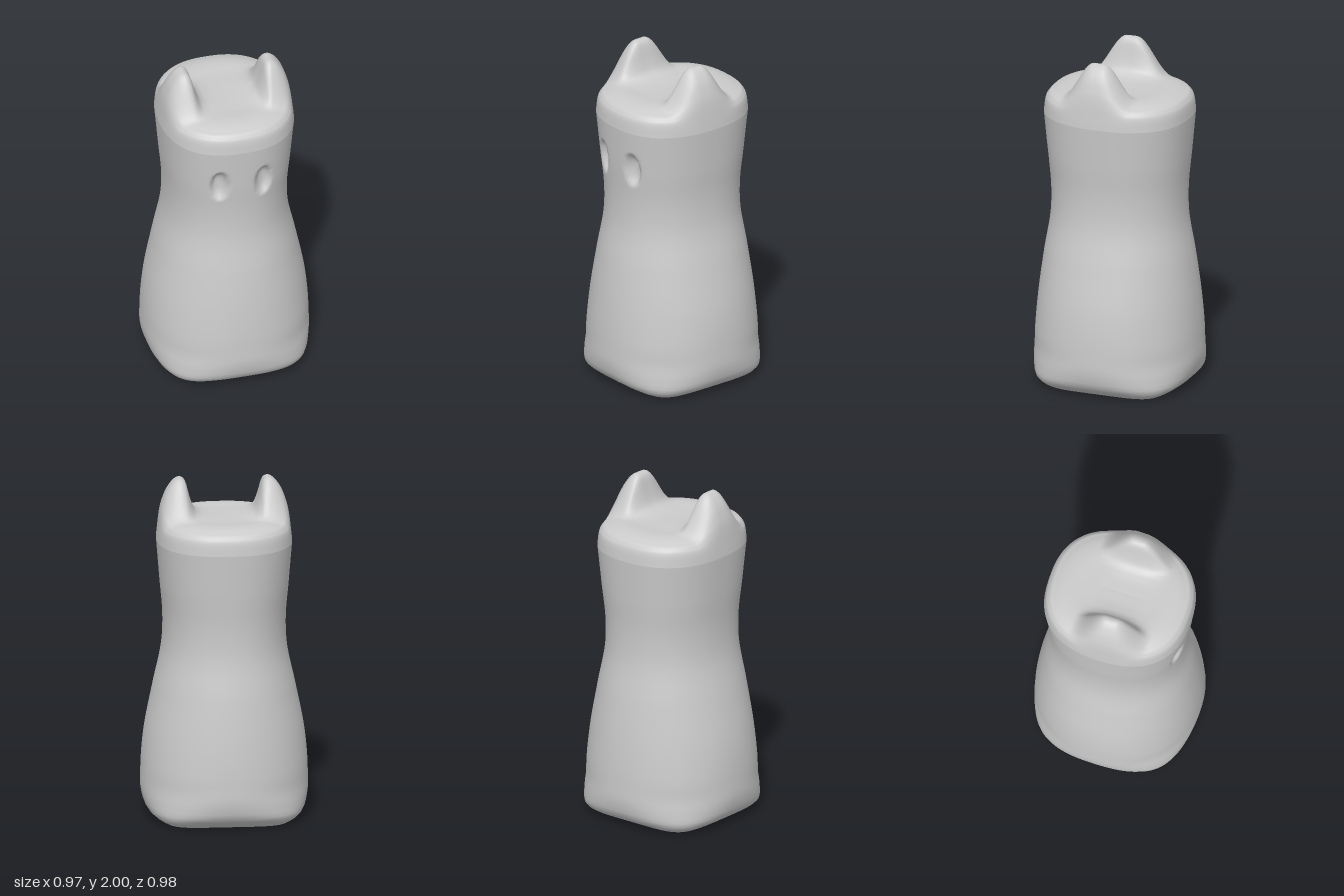
import * as THREE from 'three';

// Smooth curve through [position, value] pairs
function curve(pairs) {
  const f = new THREE.CubicInterpolant(
    new Float32Array(pairs.map(p => p[0])), new Float32Array(pairs.map(p => p[1])), 1);
  return t => f.evaluate(t)[0];
}

const RIM = 1.64; // height where the sides turn into the head top
const SEGMENTS = 144;

// Half width, half depth and squareness of the body by height
const halfWidth = curve([[0, 0.36], [0.015, 0.39], [0.05, 0.445], [0.13, 0.48], [0.27, 0.485], [0.5, 0.467],
  [0.77, 0.415], [1.01, 0.365], [1.18, 0.357], [1.4, 0.374], [RIM, 0.393]]);
const halfDepth = curve([[0, 0.36], [0.015, 0.39], [0.05, 0.448], [0.13, 0.483], [0.27, 0.487], [0.5, 0.473],
  [0.77, 0.44], [1.01, 0.402], [1.18, 0.398], [1.4, 0.415], [RIM, 0.433]]);
const squareness = curve([[0, 5], [0.05, 3.2], [0.15, 2.3], [0.3, 2.15], [1, 2.15], [1.4, 2.3], [RIM, 2.4]]);

// Head top without ears, by fraction of the rim radius
const crown = curve([[0, 1.78], [0.4, 1.78], [0.7, 1.782], [0.86, 1.765], [0.945, 1.742], [0.985, 1.7], [1, RIM]]);
// Ears: steep inner wall by |x|, rounded outer slope by rim fraction
const earInner = curve([[0, 1.78], [0.1, 1.787], [0.15, 1.803], [0.18, 1.835], [0.205, 1.91], [0.22, 1.97],
  [0.245, 2], [0.3, 2], [0.5, 2]]);
const earOuter = curve([[0, 2], [0.6, 2], [0.69, 2], [0.795, 1.965], [0.9, 1.885], [0.96, 1.79], [1, RIM]]);

// Point on the rounded-square outline at a height
function outline(angle, y) {
  const s = Math.sin(angle), c = Math.cos(angle), n = squareness(y);
  const k = Math.pow(Math.pow(Math.abs(s), n) + Math.pow(Math.abs(c), n), -1 / n);
  return [s * k * halfWidth(y), c * k * halfDepth(y)];
}

// Height of the head top, ears included
function topHeight(x, z, s) {
  const base = crown(s);
  const ear = Math.max(base, Math.min(earInner(Math.abs(x)), earOuter(s)));
  const w = 1 - THREE.MathUtils.smoothstep(Math.abs(z - 0.03), 0.03, 0.23);
  return base + (ear - base) * w;
}

// Depth of the two oval eye hollows
function eyeDent(x, y, z) {
  const d = ((Math.abs(x) - 0.13) / 0.055) ** 2 + ((y - 1.4) / 0.115) ** 2;
  return z > 0 && d < 1 ? 0.045 * (1 - d * d) ** 2 * (1 + 2 * (y - 1.4)) : 0;
}

function bodyGeometry() {
  const rings = [];
  // Underside
  for (let i = 0; i < 5; i++) rings.push(a => {
    const [x, z] = outline(a, 0);
    return [x * i / 5, 0, z * i / 5];
  });
  // Sides, with closer rings at the rounded foot
  const heights = [0, 0.005, 0.015, 0.03, 0.05, 0.075, 0.1];
  for (let y = 0.13; y < RIM - 0.01; y += y > 1.24 && y < 1.54 ? 0.01 : 0.03) heights.push(y);
  for (const y of heights) rings.push(a => {
    const [x, z] = outline(a, y);
    return [x, y, z - eyeDent(x, y, z)];
  });
  // Head top and ears, from the rim to the centre
  for (let i = 0; i <= 64; i++) rings.push(a => {
    const s = Math.cos(i / 64 * Math.PI / 2);
    const [x, z] = outline(a, RIM).map(v => v * s);
    return [x, topHeight(x, z, s), z];
  });

  const positions = [], index = [];
  rings.forEach((ring, i) => {
    for (let j = 0; j < SEGMENTS; j++) {
      positions.push(...ring(j / SEGMENTS * Math.PI * 2));
      if (i === rings.length - 1) continue;
      const a = i * SEGMENTS + j, b = i * SEGMENTS + (j + 1) % SEGMENTS;
      index.push(a, b, b + SEGMENTS, a, b + SEGMENTS, a + SEGMENTS);
    }
  });
  const geometry = new THREE.BufferGeometry();
  geometry.setAttribute('position', new THREE.Float32BufferAttribute(positions, 3));
  geometry.setIndex(index);
  geometry.computeVertexNormals();
  return geometry;
}

export function createModel() {
  const group = new THREE.Group();
  group.name = 'earedFigurine';
  const body = new THREE.Mesh(bodyGeometry(), new THREE.MeshStandardMaterial({ color: 0xcccccc }));
  body.name = 'bodyWithEarsAndEyes';
  group.add(body);
  return group;
}
